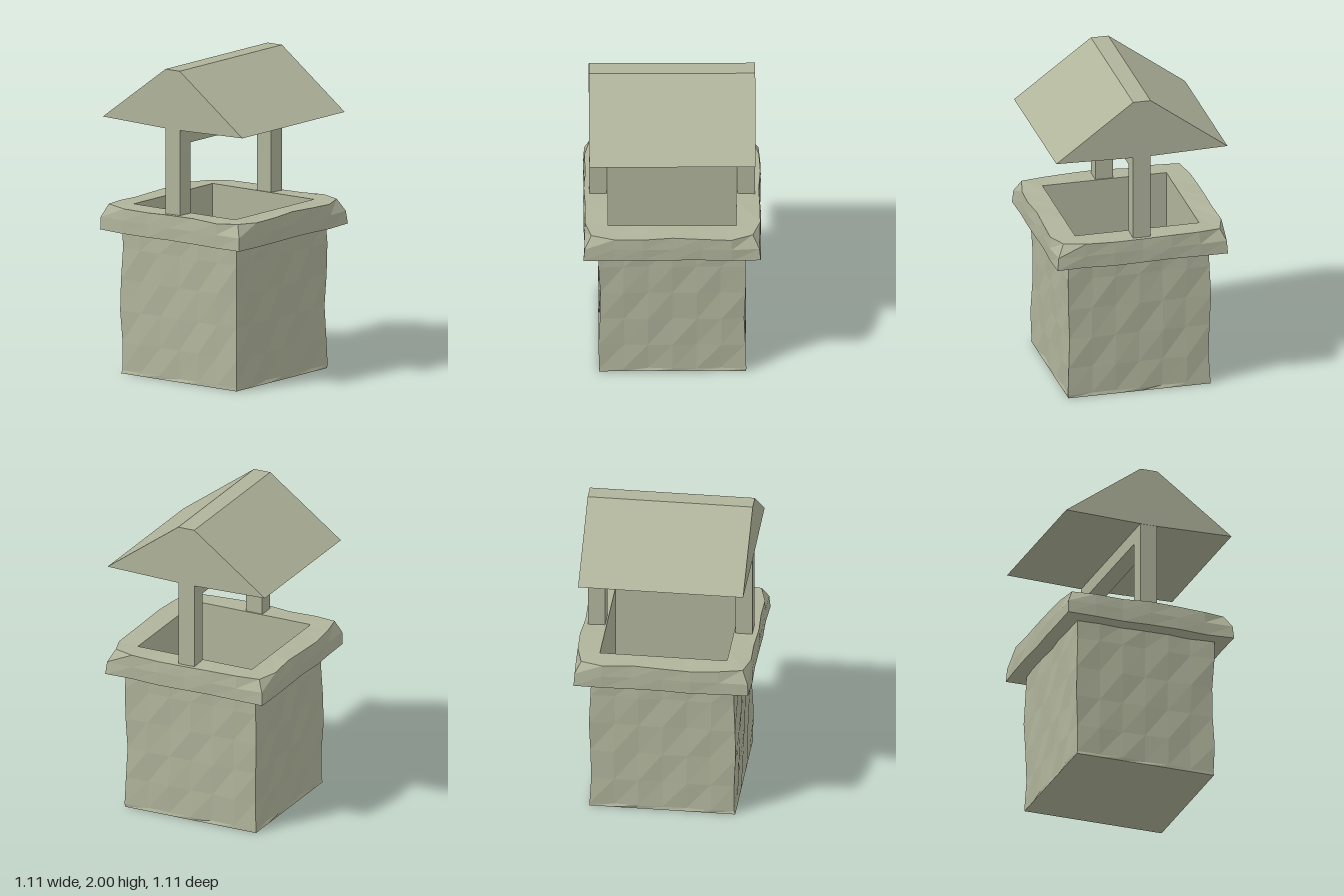
import * as THREE from 'three';

const material = new THREE.MeshStandardMaterial({ color: 0xb0b49b, flatShading: true });
const SIDE = 6; // segments along each side of the square loops

// Square loop, counter-clockwise from above, with a hewn wobble and optional corner cut
function squareLoop(half, y, { wobble = 0, wobbleY = 0, cut = 1 } = {}) {
  const corners = [[1, 1], [1, -1], [-1, -1], [-1, 1]];
  const points = [];
  corners.forEach(([ax, az], s) => {
    const [bx, bz] = corners[(s + 1) % 4];
    for (let i = 0; i < SIDE; i++) {
      const t = i / SIDE, k = s * SIDE + i;
      const r = (half + wobble * Math.sin(k * 2.3 + y * 9)) * (i === 0 ? cut : 1);
      points.push(new THREE.Vector3(
        r * (ax + (bx - ax) * t),
        y + wobbleY * Math.sin(k * 1.7 + half * 5),
        r * (az + (bz - az) * t)));
    }
  });
  return points;
}

// Skin a series of loops, with optional end caps
function loft(loops, capped) {
  const out = [];
  const tri = (...v) => v.forEach(p => out.push(p.x, p.y, p.z));
  const n = loops[0].length;
  for (let j = 0; j < loops.length - 1; j++) {
    const a = loops[j], b = loops[j + 1];
    for (let i = 0; i < n; i++) {
      const k = (i + 1) % n;
      tri(a[i], a[k], b[k]);
      tri(a[i], b[k], b[i]);
    }
  }
  if (capped) {
    const first = loops[0], last = loops[loops.length - 1];
    const c0 = new THREE.Vector3(0, first[0].y, 0), c1 = new THREE.Vector3(0, last[0].y, 0);
    for (let i = 0; i < n; i++) {
      const k = (i + 1) % n;
      tri(c0, first[k], first[i]);
      tri(c1, last[i], last[k]);
    }
  }
  const geometry = new THREE.BufferGeometry();
  geometry.setAttribute('position', new THREE.Float32BufferAttribute(out, 3));
  geometry.computeVertexNormals();
  return geometry;
}

export function createModel() {
  const group = new THREE.Group();
  const add = (name, geometry, x = 0, y = 0, z = 0) => {
    const mesh = new THREE.Mesh(geometry, material);
    mesh.name = name;
    mesh.position.set(x, y, z);
    group.add(mesh);
  };

  // Hollow stone shaft with a floor
  const rough = { wobble: 0.007 };
  add('wellShaft', loft([
    squareLoop(0.458, 0),
    ...[0.02, 0.2, 0.4, 0.6, 0.8, 0.93].map(y => squareLoop(0.455, y, rough)),
    squareLoop(0.4, 0.93),
    squareLoop(0.4, 0.05),
  ], true));

  // Overhanging stone rim, corners worn towards the top
  const inner = squareLoop(0.4, 0.916);
  add('wellRim', loft([
    inner,
    squareLoop(0.552, 0.918, { wobble: 0.004, wobbleY: 0.003 }),
    squareLoop(0.552, 1.0, { wobble: 0.005, cut: 0.99 }),
    squareLoop(0.546, 1.076, { wobble: 0.006, wobbleY: 0.006, cut: 0.93 }),
    squareLoop(0.4, 1.078),
    inner,
  ], false));

  // Two posts and the beam joining them
  for (const side of [1, -1]) {
    add(side > 0 ? 'frontPost' : 'backPost', new THREE.BoxGeometry(0.113, 0.62, 0.108), 0, 1.34, side * 0.463);
  }
  add('crossBeam', new THREE.BoxGeometry(0.113, 0.12, 0.86), 0, 1.59, 0);

  // Gable roof with a narrow flat ridge
  const profile = new THREE.Shape([
    [-0.552, 1.635], [-0.056, 1.622], [0.056, 1.622], [0.552, 1.635], [0.056, 2], [-0.056, 2],
  ].map(p => new THREE.Vector2(...p)));
  add('roof', new THREE.ExtrudeGeometry(profile, { depth: 1.038, bevelEnabled: false }), 0, 0, -0.519);

  return group;
}
